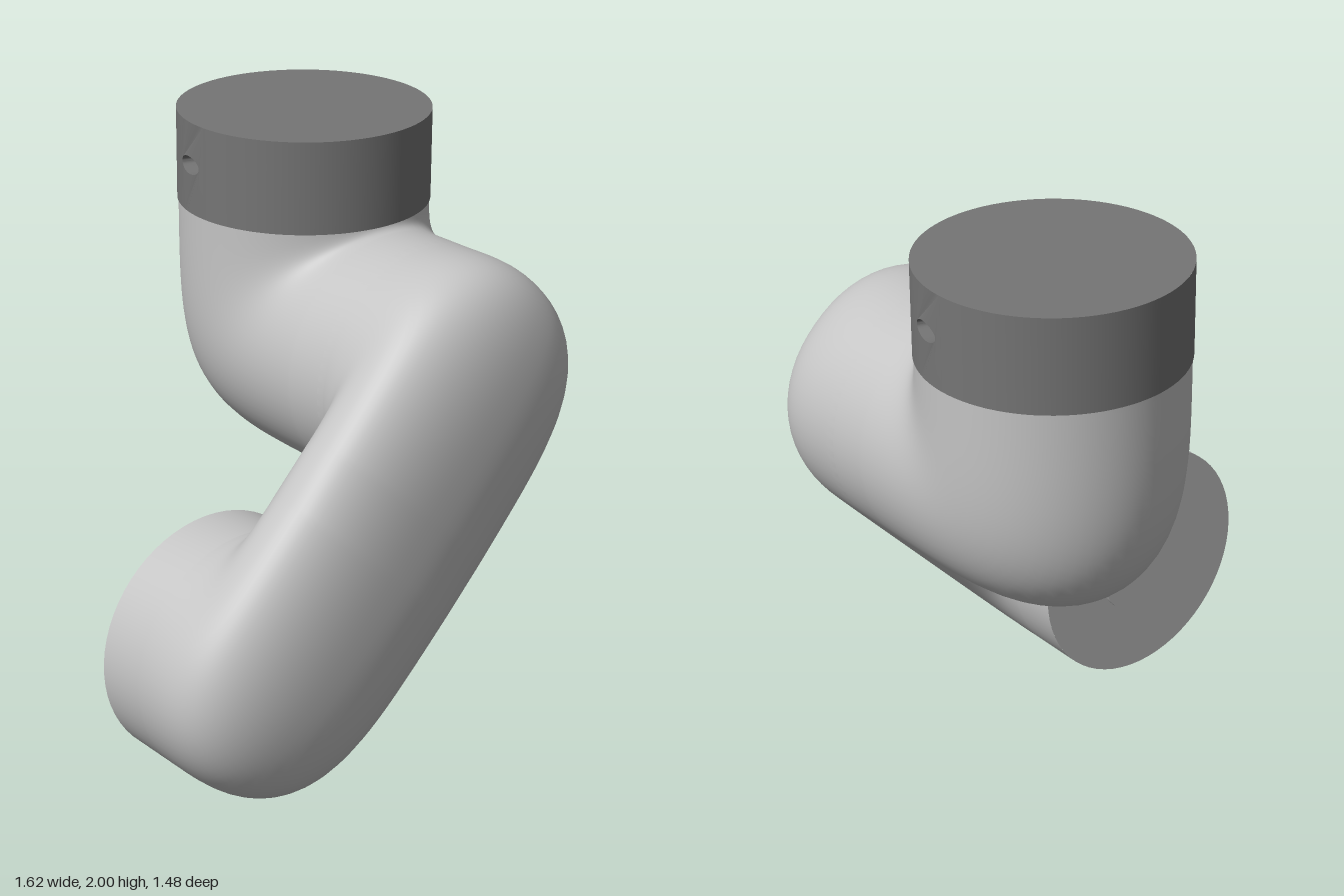
import * as THREE from 'three';
import { toCreasedNormals } from 'three/addons/utils/BufferGeometryUtils.js';

const V = (x, y, z) => new THREE.Vector3(x, y, z);
const R = 0.428;        // tube radius
const FILLET = 0.03;    // inner bend radius
const SIDES = 64;

// Rings fanning about an inner pivot, from direction u0 to u1, with a squarish outer corner.
// m0 and m1 set how square the cross-section is at each end.
function elbow(pivot, u0, u1, a, b, m0, m1, leadIn = 0, leadOut = 0) {
  const side = u1.clone().cross(u0).normalize();
  const rings = [];
  const steps = 40, n = 4.2;
  const addRing = (phi, m, shift) => {
    const c = Math.cos(phi), s = Math.sin(phi);
    const k = Math.pow(Math.pow(Math.abs(c), n) + Math.pow(Math.abs(s), n), -1 / n);
    const outer = u0.clone().multiplyScalar(a * k * c).addScaledVector(u1, b * k * s);
    const inner = outer.clone().normalize().multiplyScalar(FILLET);
    const centre = outer.clone().add(inner).multiplyScalar(0.5).add(pivot);
    if (shift) centre.add(shift);
    const half = outer.sub(inner).multiplyScalar(0.5);
    const ring = [];
    for (let j = 0; j < SIDES; j++) {
      const t = j / SIDES * Math.PI * 2, ct = Math.cos(t), st = Math.sin(t);
      const q = Math.pow(Math.pow(Math.abs(ct), m) + Math.pow(Math.abs(st), m), -1 / m);
      ring.push(centre.clone().addScaledVector(half, q * ct).addScaledVector(side, R * q * st));
    }
    rings.push(ring);
  };
  if (leadIn) addRing(0, m0, u1.clone().multiplyScalar(-leadIn));
  for (let i = 0; i <= steps; i++) addRing(i / steps * Math.PI / 2, m0 + (m1 - m0) * i / steps);
  if (leadOut) addRing(Math.PI / 2, m1, u0.clone().multiplyScalar(-leadOut));
  return rings;
}

// Smooth skin over a list of rings
function skin(rings) {
  const pos = [], idx = [];
  for (const ring of rings) for (const p of ring) pos.push(p.x, p.y, p.z);
  for (let i = 0; i < rings.length - 1; i++) {
    for (let j = 0; j < SIDES; j++) {
      const k = (j + 1) % SIDES;
      const a = i * SIDES + j, b = i * SIDES + k, c = a + SIDES, d = b + SIDES;
      idx.push(a, b, c, b, d, c);
    }
  }
  const g = new THREE.BufferGeometry();
  g.setAttribute('position', new THREE.Float32BufferAttribute(pos, 3));
  g.setIndex(idx);
  g.computeVertexNormals();
  return g;
}

// Curved wall panel with an oval hole, centred on the given angle
function holePanel(radius, height, halfAngle, angle, depth) {
  const w = halfAngle * radius, h = height / 2, pts = [];
  for (let i = 0; i <= 8; i++) pts.push(new THREE.Vector2(-w + w * i / 4, -h));
  for (let i = 8; i >= 0; i--) pts.push(new THREE.Vector2(-w + w * i / 4, h));
  const shape = new THREE.Shape(pts);
  shape.holes.push(new THREE.Path().absellipse(0, 0.008, 0.062, 0.03, 0, Math.PI * 2, true));
  const g = new THREE.ExtrudeGeometry(shape, { depth, bevelEnabled: false, curveSegments: 16 });
  const p = g.attributes.position;
  for (let i = 0; i < p.count; i++) {
    const r = radius - depth + p.getZ(i), t = angle + p.getX(i) / radius;
    p.setXYZ(i, r * Math.sin(t), p.getY(i), r * Math.cos(t));
  }
  return toCreasedNormals(g, 0.5);
}

export function createModel() {
  const model = new THREE.Group();
  const bodyMat = new THREE.MeshStandardMaterial({ color: 0xc4c4c4 });
  bodyMat.name = 'light grey';
  const collarMat = new THREE.MeshStandardMaterial({ color: 0x757575 });
  collarMat.name = 'dark grey';
  const add = (name, geo, mat, parent = model) => {
    const mesh = new THREE.Mesh(geo, mat);
    mesh.name = name;
    parent.add(mesh);
    return mesh;
  };

  const top = V(0.375, 1.238, 0), low = V(-0.38, 0.43, 0);
  const dir = low.clone().sub(top).normalize();
  const full = 2 * R + FILLET, reach = R + FILLET;
  const backZ = 0.32, armDepth = 0.738 - backZ;

  // Upper elbow: down from the collar, then forward
  const upper = elbow(V(0.375, top.y + reach, -0.306 + reach), V(0, 0, -1), V(0, -1, 0),
    full, full, 2, 2, 0, 0.2);
  add('upperElbow', skin(upper), bodyMat);

  // Slanted arm: forward into the slope, then back into the lower joint
  const p2 = top.clone().addScaledVector(dir, reach).setZ(backZ);
  const p3 = low.clone().addScaledVector(dir, -reach).setZ(backZ);
  const arm = [
    ...elbow(p2, dir.clone().negate(), V(0, 0, 1), full, armDepth, 2, 2.4, 0.03, 0),
    ...elbow(p3, V(0, 0, 1), dir, armDepth, full, 2.4, 2, 0, backZ - 0.135),
  ];
  add('slantedArm', skin(arm), bodyMat);

  // Lower joint face and its raised disc
  const face = add('lowerJointFace', new THREE.CircleGeometry(R, SIDES), bodyMat);
  face.rotation.y = Math.PI;
  face.position.set(low.x, low.y, 0.135);
  const boss = add('raisedDisc', new THREE.CylinderGeometry(0.185, 0.185, 0.03, 48), bodyMat);
  boss.rotation.x = Math.PI / 2;
  boss.position.set(low.x, low.y, 0.13);

  // Collar with a pair of opposite oval holes
  const collar = new THREE.Group();
  collar.name = 'collar';
  collar.position.set(0.375, 1.8425, -0.306);
  model.add(collar);
  const cr = 0.432, ch = 0.315, half = 0.2;
  for (const angle of [1.38, 1.38 + Math.PI]) {
    add('collarHolePanel', holePanel(cr, ch, half, angle, 0.06), collarMat, collar);
    add('collarWall', new THREE.CylinderGeometry(cr, cr, ch, 40, 1, true,
      angle + half, Math.PI - 2 * half), collarMat, collar);
  }
  add('collarCore', new THREE.CylinderGeometry(0.385, 0.385, ch - 0.02, 48), collarMat, collar);
  for (const s of [1, -1]) {
    const cap = add(s > 0 ? 'collarTop' : 'collarUnderside', new THREE.CircleGeometry(cr, 80), collarMat, collar);
    cap.rotation.x = -s * Math.PI / 2;
    cap.position.y = s * ch / 2;
  }
  return model;
}
